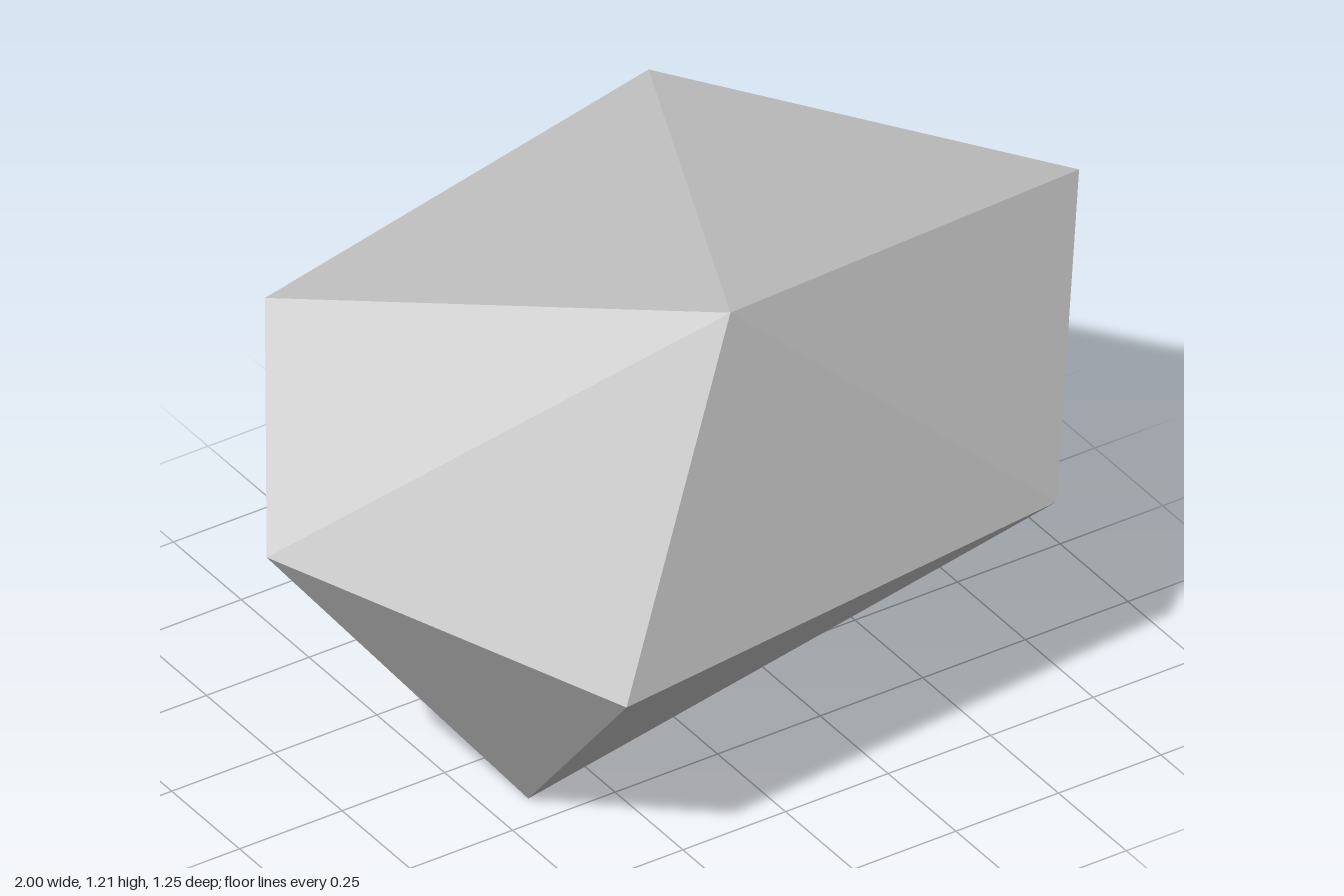
import * as THREE from 'three';

// Corner points of the boulder
const P = {
  peak: [-0.08, 1.21, 0.418],
  right: [-1, 0.773, 0.10],
  frontRight: [-0.47, 0.503, 0.625],
  frontLeft: [0.65, 0.528, 0.517],
  left: [1, 0.96, 0.07],
  lowLeft: [0.72, 0.19, -0.055],
  foot: [-0.41, 0, 0.172],
  shoulder: [-0.71, 1.05, -0.345],
  backLeft: [0.41, 1.033, -0.625],
  lowBack: [-0.43, 0.30, -0.62],
};

// Facets, counter-clockwise seen from outside
const facets = [
  // cap around the peak
  'peak right frontRight', 'peak frontRight frontLeft', 'peak frontLeft left',
  'peak left backLeft', 'peak backLeft shoulder', 'peak shoulder right',
  // front underside
  'frontRight right foot', 'frontRight foot frontLeft', 'foot lowLeft frontLeft',
  // left side and back
  'frontLeft lowLeft left', 'left lowLeft backLeft', 'backLeft lowLeft lowBack',
  'shoulder backLeft lowBack', 'shoulder lowBack right',
  // back underside
  'right lowBack foot', 'lowBack lowLeft foot',
];

export function createModel() {
  const stone = new THREE.MeshStandardMaterial({ color: 0xc4c4c4, flatShading: true });
  stone.name = 'stone grey';

  const corners = facets.flatMap((f) => f.split(' ').flatMap((name) => P[name]));
  const geometry = new THREE.BufferGeometry();
  geometry.setAttribute('position', new THREE.Float32BufferAttribute(corners, 3));
  geometry.computeVertexNormals();

  const boulder = new THREE.Mesh(geometry, stone);
  boulder.name = 'boulder';

  const model = new THREE.Group();
  model.name = 'rock';
  model.add(boulder);
  return model;
}
